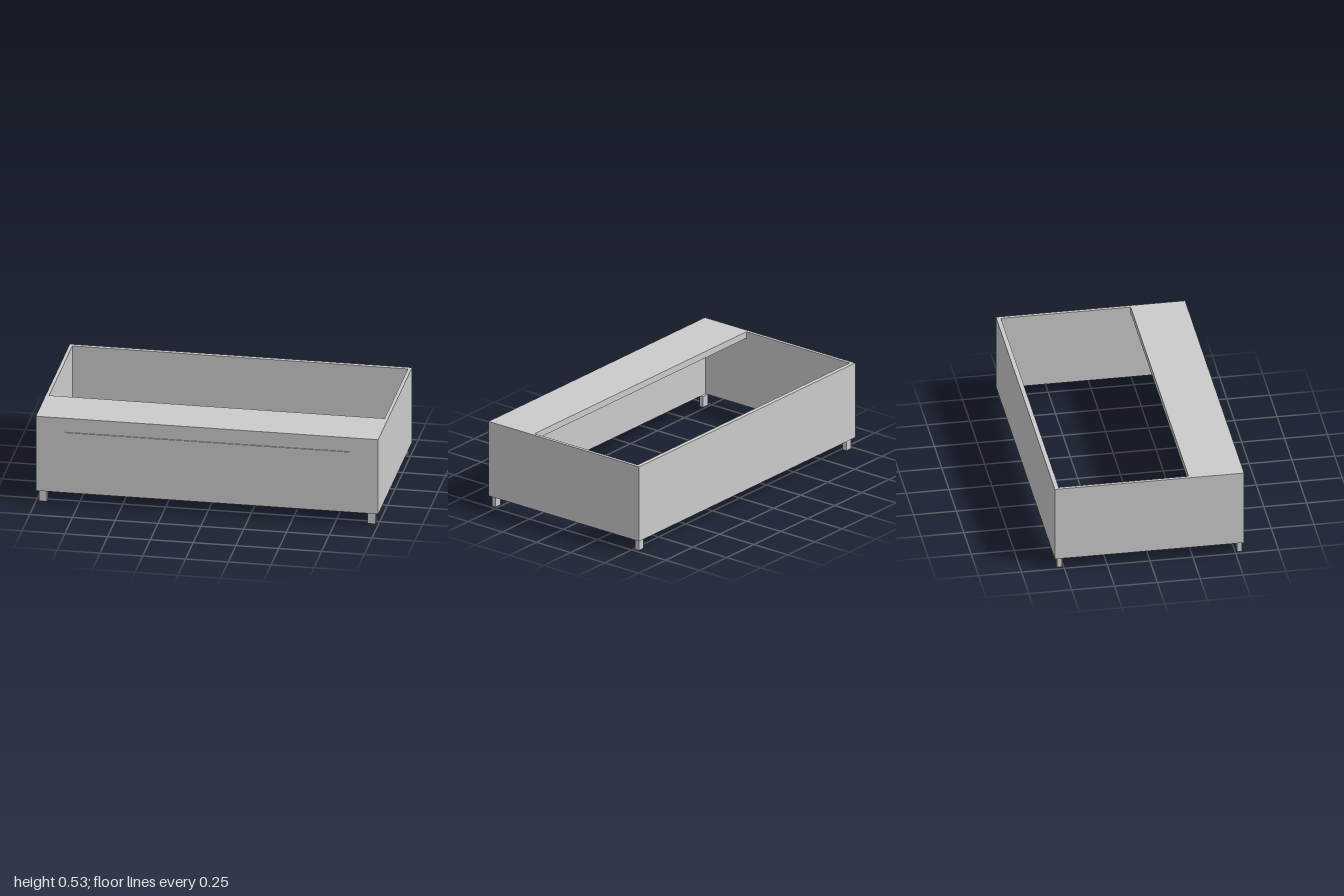
import * as THREE from 'three';

const material = new THREE.MeshStandardMaterial({ color: 0xcccccc, flatShading: true });

// Box given by its minimum and maximum corners
function box(name, [x0, y0, z0], [x1, y1, z1]) {
  const mesh = new THREE.Mesh(new THREE.BoxGeometry(x1 - x0, y1 - y0, z1 - z0), material);
  mesh.position.set((x0 + x1) / 2, (y0 + y1) / 2, (z0 + z1) / 2);
  mesh.name = name;
  return mesh;
}

export function createModel() {
  const group = new THREE.Group();
  group.name = 'openBoxFrame';

  const bottom = 0.067, top = 0.53;
  const front = 0.549, back = -0.555;
  const wall = 0.02, backWall = 0.026, ledge = 0.04;

  // Front and back walls
  group.add(box('frontWall', [-1, bottom, front - wall], [1, top - ledge, front]));
  group.add(box('backWall', [-1, bottom, back], [1, top, back + backWall]));

  // Wide ledge over the front part, between the side walls
  group.add(box('topLedge', [-1 + wall, top - ledge, 0.228], [1 - wall, top, front]));

  // Thin raised panel on the front
  group.add(box('frontPanel', [-0.83, 0.14, front], [0.83, 0.443, 0.555]));

  for (const side of [-1, 1]) {
    const label = side > 0 ? 'left' : 'right';
    const span = (a, b) => [Math.min(side * a, side * b), Math.max(side * a, side * b)];

    // Side wall
    const [w0, w1] = span(1 - wall, 1);
    group.add(box(label + 'SideWall', [w0, bottom, back + backWall], [w1, top, front]));

    // Short rectangular legs
    const [l0, l1] = span(0.937, 0.982);
    group.add(box(label + 'FrontLeg', [l0, 0, 0.512], [l1, bottom, 0.539]));
    group.add(box(label + 'BackLeg', [l0, 0, -0.539], [l1, bottom, -0.511]));
  }

  return group;
}
